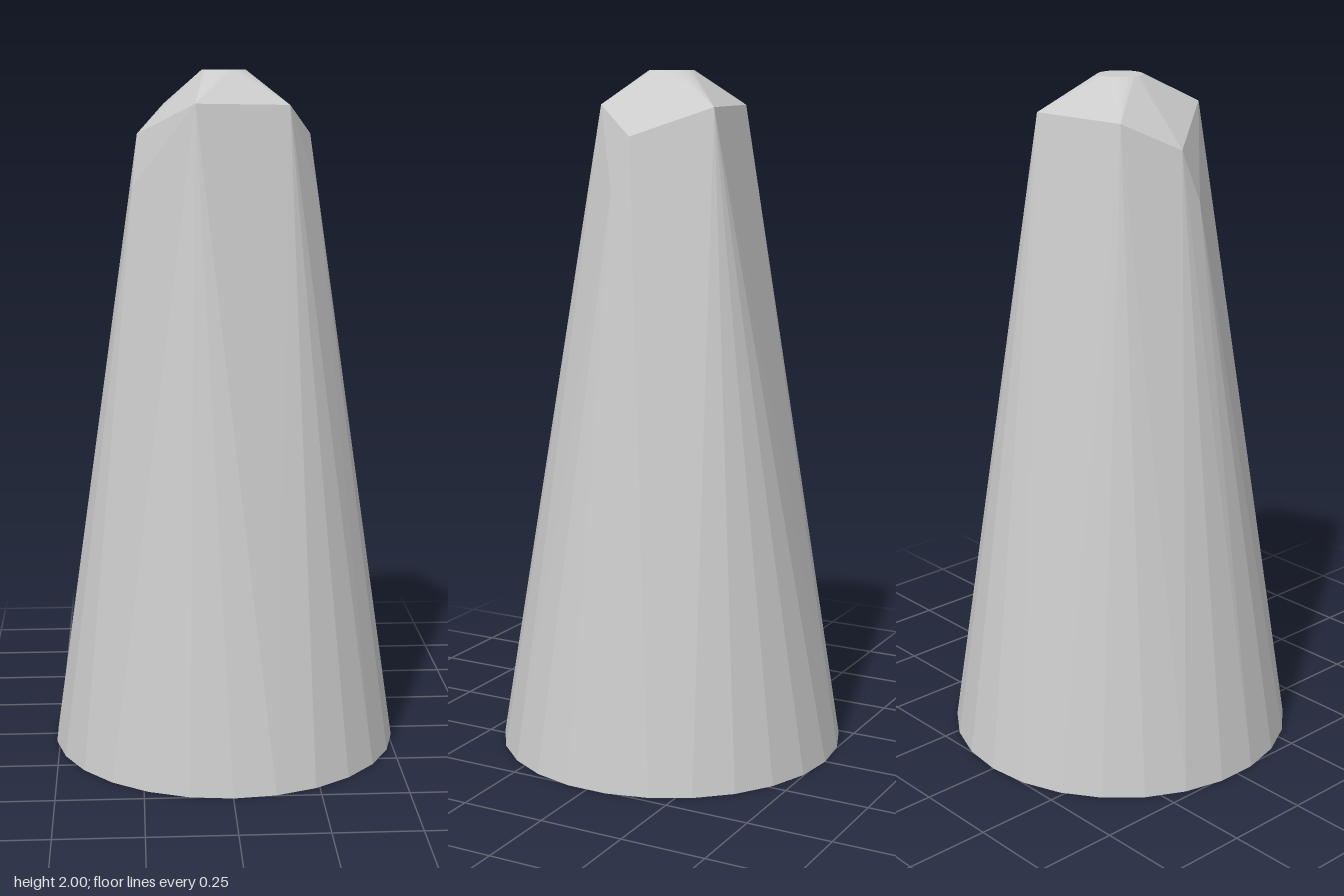
import * as THREE from 'three';
import { ConvexGeometry } from 'three/addons/geometries/ConvexGeometry.js';

const SIDES = 26;

// Horizontal ring of points with one corner on the z axis
function ring(radius, y) {
  return Array.from({ length: SIDES }, (_, i) => {
    const a = (i / SIDES) * Math.PI * 2;
    return new THREE.Vector3(Math.sin(a) * radius, y, Math.cos(a) * radius);
  });
}

export function createModel() {
  const group = new THREE.Group();
  group.name = 'taperedStone';

  // Irregular chipped shoulder under the small flat tip
  const shoulder = [
    [0.25, 1.82, 0], [0.18, 1.905, 0.13], [-0.09, 1.912, 0.22],
    [-0.25, 1.82, 0], [-0.17, 1.9, -0.155], [0.125, 1.9, -0.2],
  ];
  // Slight bulges just below the shoulder on either side
  const bulges = [[-0.266, 1.67, 0.055], [0.266, 1.67, 0.05]];

  const points = [
    ...ring(0.513, 0),
    ...[...shoulder, ...bulges].map((p) => new THREE.Vector3(...p)),
    ...ring(0.064, 2),
  ];

  // Facets stretched tightly between base, shoulder and tip
  const body = new THREE.Mesh(
    new ConvexGeometry(points),
    new THREE.MeshStandardMaterial({ color: 0xcccccc, flatShading: true }),
  );
  body.name = 'facetedBody';
  group.add(body);
  return group;
}
